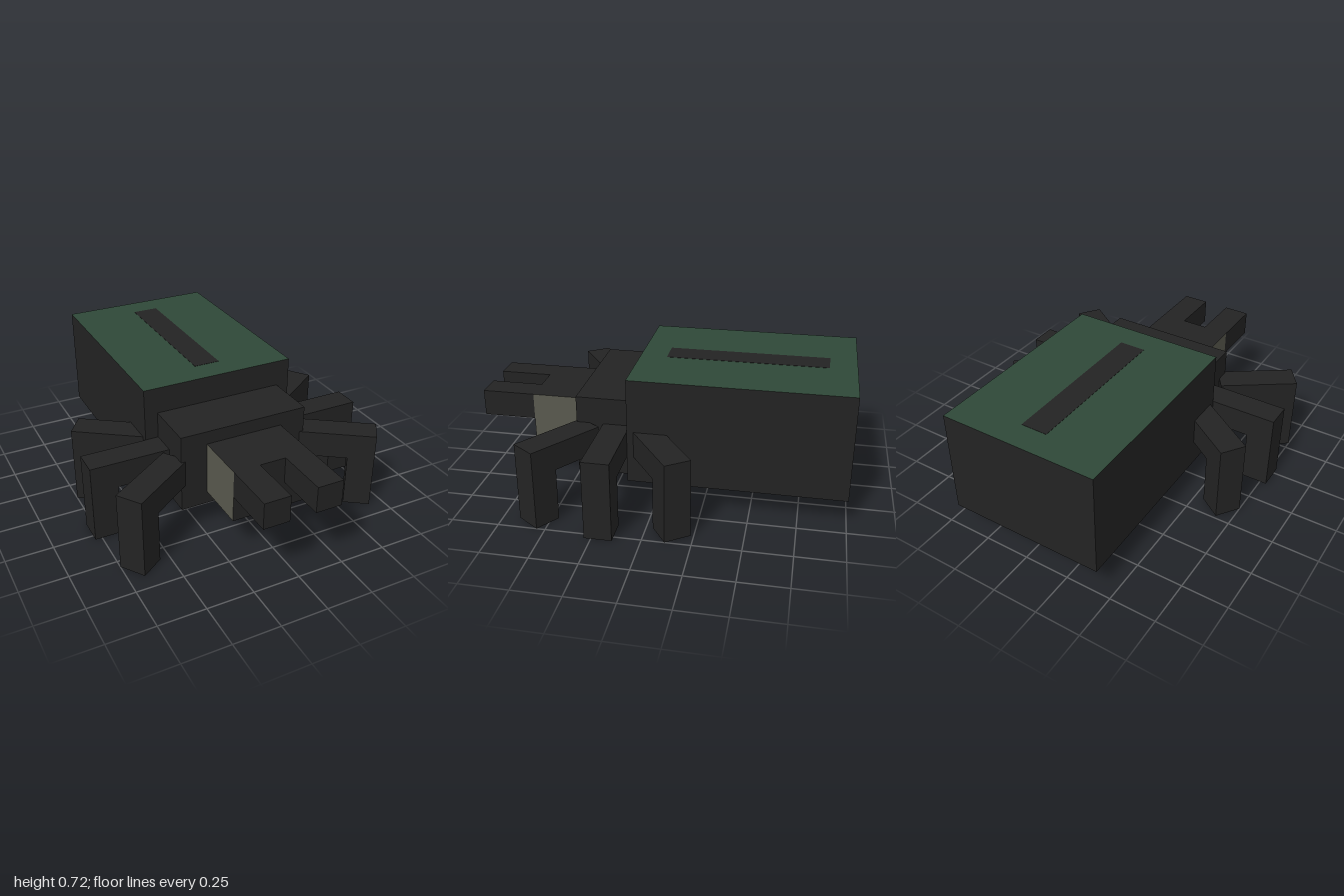
import * as THREE from 'three';

const U = 1 / 7; // base module of the blocky design

export function createModel() {
  const model = new THREE.Group();
  model.name = 'blockSpider';

  const mat = (name, color) => {
    const m = new THREE.MeshStandardMaterial({ color });
    m.name = name;
    return m;
  };
  const black = mat('charcoal', 0x232323);
  const green = mat('darkGreen', 0x2f4838);
  const stone = mat('stoneGrey', 0x59594e);

  // Box from its minimum and maximum corners, in modules
  const box = (name, min, max, material, parent = model) => {
    const size = max.map((v, i) => (v - min[i]) * U);
    const mesh = new THREE.Mesh(new THREE.BoxGeometry(...size), material);
    mesh.position.set(...max.map((v, i) => (v + min[i]) * U / 2));
    mesh.name = name;
    parent.add(mesh);
    return mesh;
  };

  // Abdomen with a green upper face, and the dark stripe along its back
  box('abdomen', [-3, 1, -7], [3, 5, 1], [black, black, green, black, black, black]);
  box('backStripe', [-0.5, 4.99, -6], [0.5, 5.01, 0], black);

  // Thorax, and head with pale cheeks
  box('thorax', [-2.5, 1, 1], [2.5, 4, 3], black);
  box('head', [-1.5, 1.5, 3], [1.5, 3.5, 5], [stone, stone, black, black, black, black]);

  for (const side of [1, -1]) {
    const label = side > 0 ? 'left' : 'right';

    // Mandible
    const x = side * 1;
    box(label + 'Mandible', [x - 0.5, 2.5, 5], [x + 0.5, 3.5, 7], black);

    // Three bent legs, fanned out about the thorax
    [['Front', 1], ['Middle', 0], ['Rear', -1]].forEach(([place, fan]) => {
      const leg = new THREE.Group();
      leg.name = label + place + 'Leg';
      leg.position.set(side * 2.5 * U, 0, (1.5 + fan) * U);
      const angle = -fan * THREE.MathUtils.degToRad(35);
      leg.rotation.y = side > 0 ? angle : Math.PI - angle;
      box('upperLeg', [0, 2, -0.5], [3, 3, 0.5], black, leg);
      box('lowerLeg', [2, 0, -0.5], [3, 2, 0.5], black, leg);
      model.add(leg);
    });
  }
  return model;
}
